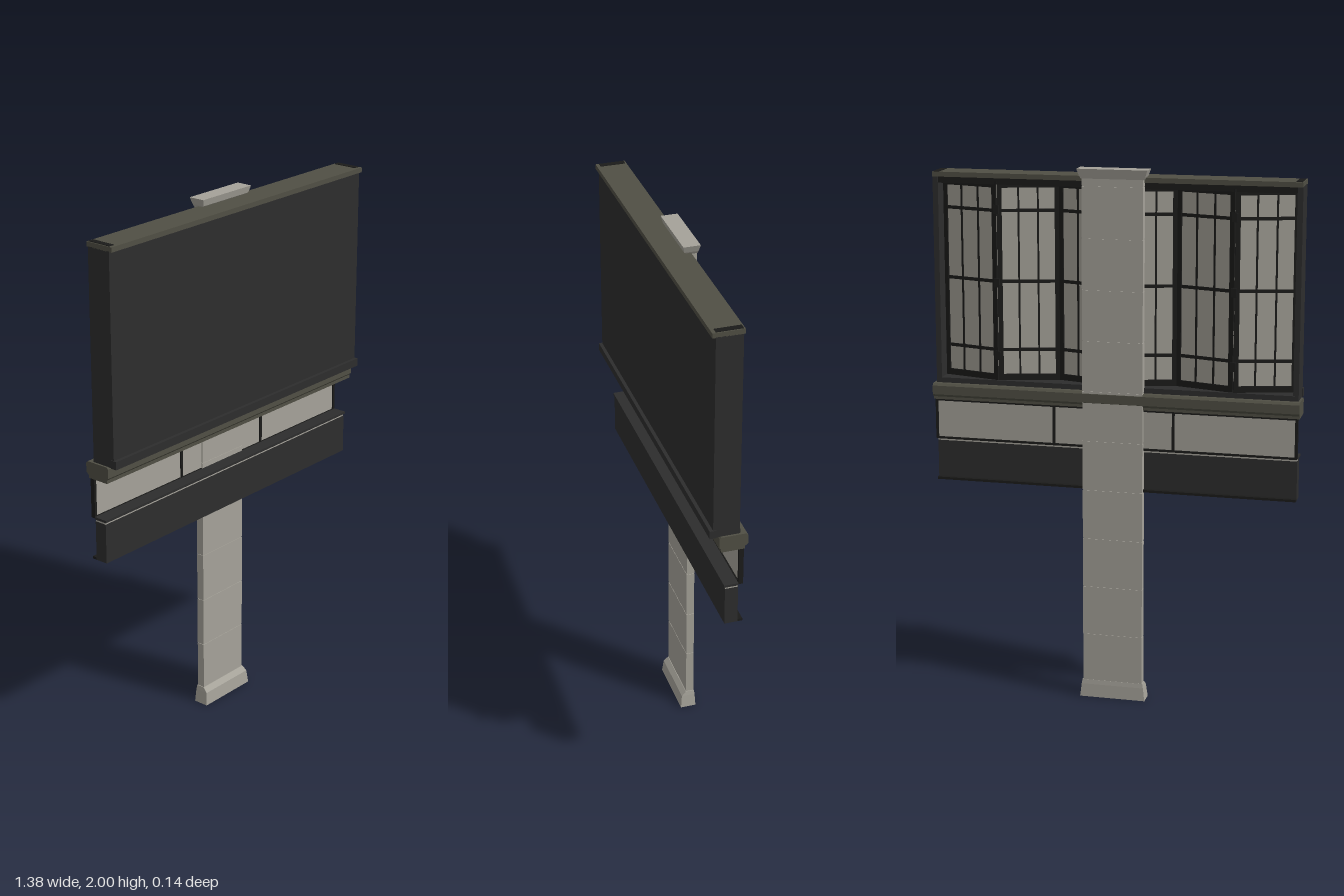
import * as THREE from 'three';

const mat = (name, color) => {
  const m = new THREE.MeshStandardMaterial({ color });
  m.name = name;
  return m;
};

export function createModel() {
  const stone = mat('pale stone', 0xa5a299);
  const olive = mat('olive metal', 0x504f44);
  const dark = mat('dark panel', 0x2d2d2d);
  const black = mat('black frame', 0x1b1b1a);
  const root = new THREE.Group();

  // Box given by its min and max on each axis
  const box = (name, m, x0, x1, y0, y1, z0, z1, parent = root) => {
    const mesh = new THREE.Mesh(new THREE.BoxGeometry(x1 - x0, y1 - y0, z1 - z0), m);
    mesh.position.set((x0 + x1) / 2, (y0 + y1) / 2, (z0 + z1) / 2);
    mesh.name = name;
    parent.add(mesh);
    return mesh;
  };

  // Block whose bottom and top are separate rectangles [halfX, zMin, zMax]
  const taper = (name, m, y0, y1, a, b) => {
    const g = new THREE.BoxGeometry(2, 1, 1).toNonIndexed();
    const p = g.attributes.position;
    for (let i = 0; i < p.count; i++) {
      const top = p.getY(i) > 0, r = top ? b : a;
      p.setXYZ(i, p.getX(i) * r[0], top ? y1 : y0, p.getZ(i) > 0 ? r[2] : r[1]);
    }
    g.computeVertexNormals();
    const mesh = new THREE.Mesh(g, m);
    mesh.name = name;
    root.add(mesh);
  };

  // Profile in (z, y) drawn out along x
  const extrudeX = (name, m, pts, half) => {
    const s = new THREE.Shape(pts.map(([z, y]) => new THREE.Vector2(-z, y)));
    const g = new THREE.ExtrudeGeometry(s, { depth: half * 2, bevelEnabled: false });
    g.translate(0, 0, -half).rotateY(Math.PI / 2);
    const mesh = new THREE.Mesh(g, m);
    mesh.name = name;
    root.add(mesh);
  };

  // Pillar: core, stacked blocks with fine joints, foot and capital
  box('pillarCore', stone, -0.111, 0.111, 0.02, 1.98, -0.064, -0.038);
  const step = 0.1875, joint = 0.003;
  for (let i = 0; i < 11; i++) {
    const y = 0.065 + i * step;
    box('pillarBlock', stone, -0.113, 0.113, y, Math.min(y + step - joint, 1.975), -0.066, -0.036);
  }
  taper('pillarFoot', stone, 0, 0.05, [0.125, -0.071, -0.012], [0.119, -0.069, -0.017]);
  taper('pillarFootTop', stone, 0.05, 0.067, [0.119, -0.069, -0.017], [0.116, -0.067, -0.034]);
  taper('capitalNeck', stone, 1.965, 1.975, [0.115, -0.067, -0.034], [0.121, -0.069, -0.018]);
  taper('capital', stone, 1.975, 2, [0.121, -0.069, -0.018], [0.13, -0.074, -0.012]);

  // Window case: blank front, sides, lid and sill
  box('frontPanel', dark, -0.68, 0.68, 1.185, 1.955, 0.046, 0.057);
  box('lid', olive, -0.68, 0.68, 1.953, 1.971, -0.043, 0.069);
  box('caseFloor', dark, -0.68, 0.68, 1.185, 1.205, -0.04, 0.05);
  box('frontSill', dark, -0.683, 0.683, 1.185, 1.215, 0.045, 0.07);
  box('headRail', black, -0.66, 0.66, 1.93, 1.953, -0.036, 0.046);
  for (const s of [-1, 1]) {
    const a = 0.66 * s, b = 0.68 * s;
    box('caseSide', dark, Math.min(a, b), Math.max(a, b), 1.185, 1.955, -0.038, 0.057);
    box('lidEndPlate', black, s * 0.665 - 0.011, s * 0.665 + 0.011, 1.971, 1.973, -0.038, 0.056);
  }

  // Folding window leaves in a zigzag
  const zBack = -0.03, zFront = 0.03, leafWidth = 0.22;
  for (let i = 0; i < 6; i++) {
    const x0 = -0.66 + i * leafWidth;
    const dz = (i % 2 ? 1 : -1) * (zFront - zBack);
    const leaf = new THREE.Group();
    leaf.name = 'windowLeaf';
    leaf.position.set(x0 + leafWidth / 2, 0, (zBack + zFront) / 2);
    leaf.rotation.y = -Math.atan2(dz, leafWidth);
    root.add(leaf);
    const h = Math.hypot(leafWidth, dz) / 2;
    box('pane', stone, -h, h, 1.205, 1.94, -0.002, 0.002, leaf);
    for (const s of [-1, 1]) {
      const c = s * (h - 0.009);
      box('stile', black, c - 0.009, c + 0.009, 1.205, 1.94, -0.007, 0.007, leaf);
      const v = s * h * 0.31;
      box('verticalBar', black, v - 0.0035, v + 0.0035, 1.205, 1.94, -0.005, 0.005, leaf);
    }
    box('bottomRail', black, -h, h, 1.205, 1.228, -0.007, 0.007, leaf);
    box('topRail', black, -h, h, 1.918, 1.94, -0.007, 0.007, leaf);
    for (const y of [1.32, 1.575, 1.835])
      box('crossBar', black, -h, h, y - 0.006, y + 0.006, -0.005, 0.005, leaf);
  }
  // Hinges on the rear folds
  for (const x of [-0.44, 0.44])
    for (const y of [1.3, 1.57, 1.84])
      box('hinge', black, x - 0.01, x + 0.01, y - 0.016, y + 0.016, -0.045, -0.03);

  // Moulded ledge under the case
  extrudeX('ledge', olive, [
    [-0.055, 1.125], [0.03, 1.125], [0.03, 1.138], [0.036, 1.145], [0.036, 1.18],
    [0.03, 1.186], [-0.06, 1.186], [-0.067, 1.178], [-0.067, 1.145], [-0.055, 1.135],
  ], 0.688);

  // Pale band of three panels with dark dividers
  box('paleBand', stone, -0.677, 0.677, 0.975, 1.127, -0.05, -0.042);
  for (const x of [-0.677, -0.225, 0.225, 0.677])
    box('bandDivider', black, x - 0.005, x + 0.005, 0.975, 1.127, -0.054, -0.037);
  for (const y of [0.977, 1.123])
    for (const s of [-1, 1])
      box('bandRail', black, s * 0.397 - 0.283, s * 0.397 + 0.283, y - 0.004, y + 0.004, -0.054, -0.038);

  // Lower dark box with its top lip and rear flange
  box('lowerBox', dark, -0.68, 0.68, 0.815, 0.963, -0.037, 0.011);
  box('lowerPaleStrip', stone, -0.679, 0.679, 0.963, 0.971, -0.037, 0.01);
  box('lowerLip', dark, -0.683, 0.683, 0.971, 0.98, -0.037, 0.015);
  box('lowerFlange', black, -0.68, 0.68, 0.815, 0.824, -0.055, -0.037);

  return root;
}
